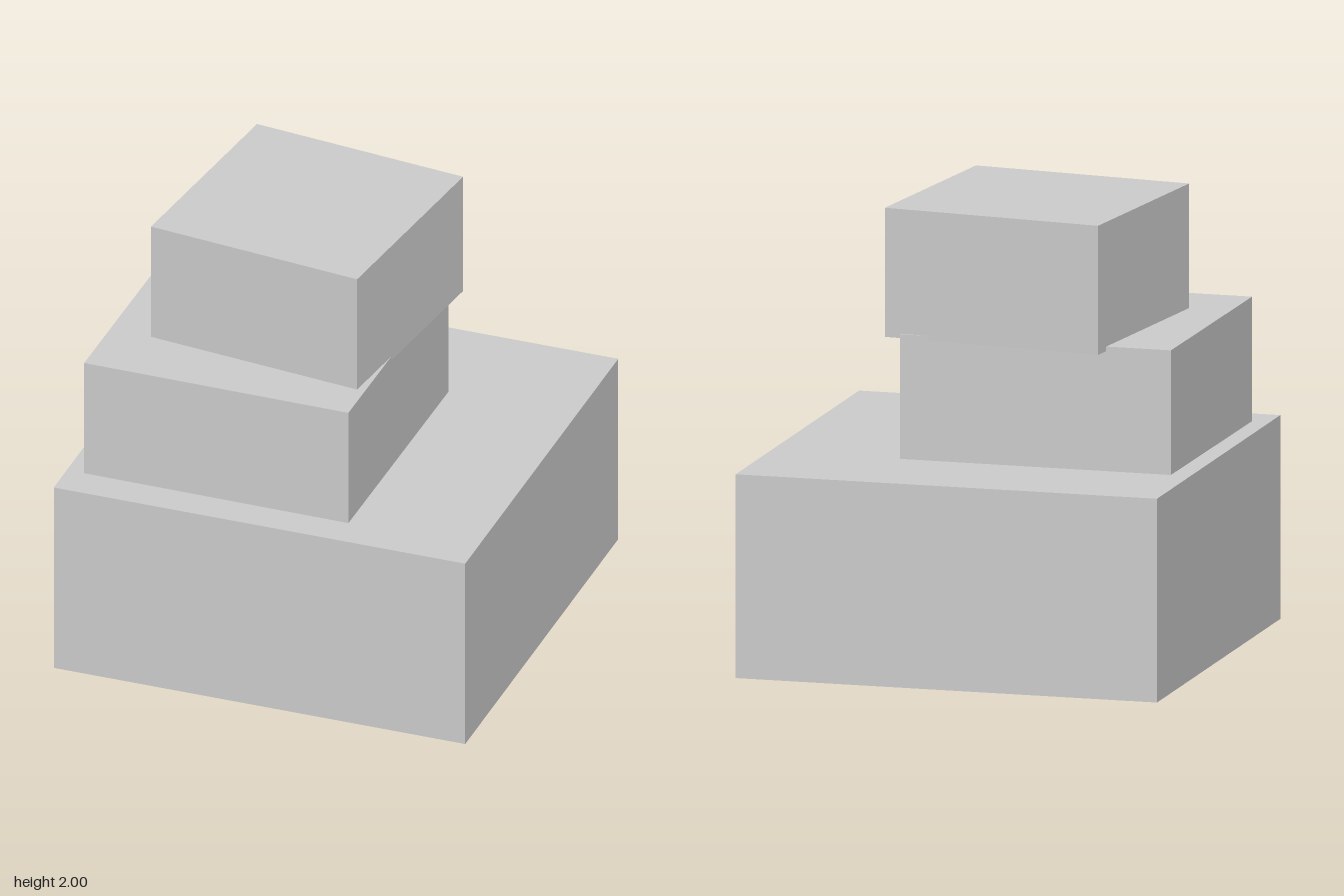
import * as THREE from 'three';

export function createModel() {
  const group = new THREE.Group();
  const grey = new THREE.MeshStandardMaterial({ color: 0xcccccc });
  grey.name = 'lightGrey';

  // Square block from y = bottom to y = top, turned slightly about the vertical axis
  function addBlock(name, size, bottom, top, x, z, turn) {
    const block = new THREE.Mesh(new THREE.BoxGeometry(size, top - bottom, size), grey);
    block.name = name;
    block.position.set(x, (bottom + top) / 2, z);
    block.rotation.y = turn;
    group.add(block);
  }

  // Three stacked blocks, each sunk a little into the one below
  addBlock('baseBlock', 1.9, 0, 0.9, 0, 0, 0.019);
  addBlock('middleBlock', 1.223, 0.88, 1.45, -0.251, 0.185, 0.0125);
  addBlock('topBlock', 1.003, 1.43, 2, -0.12, 0.037, -0.1);

  return group;
}
